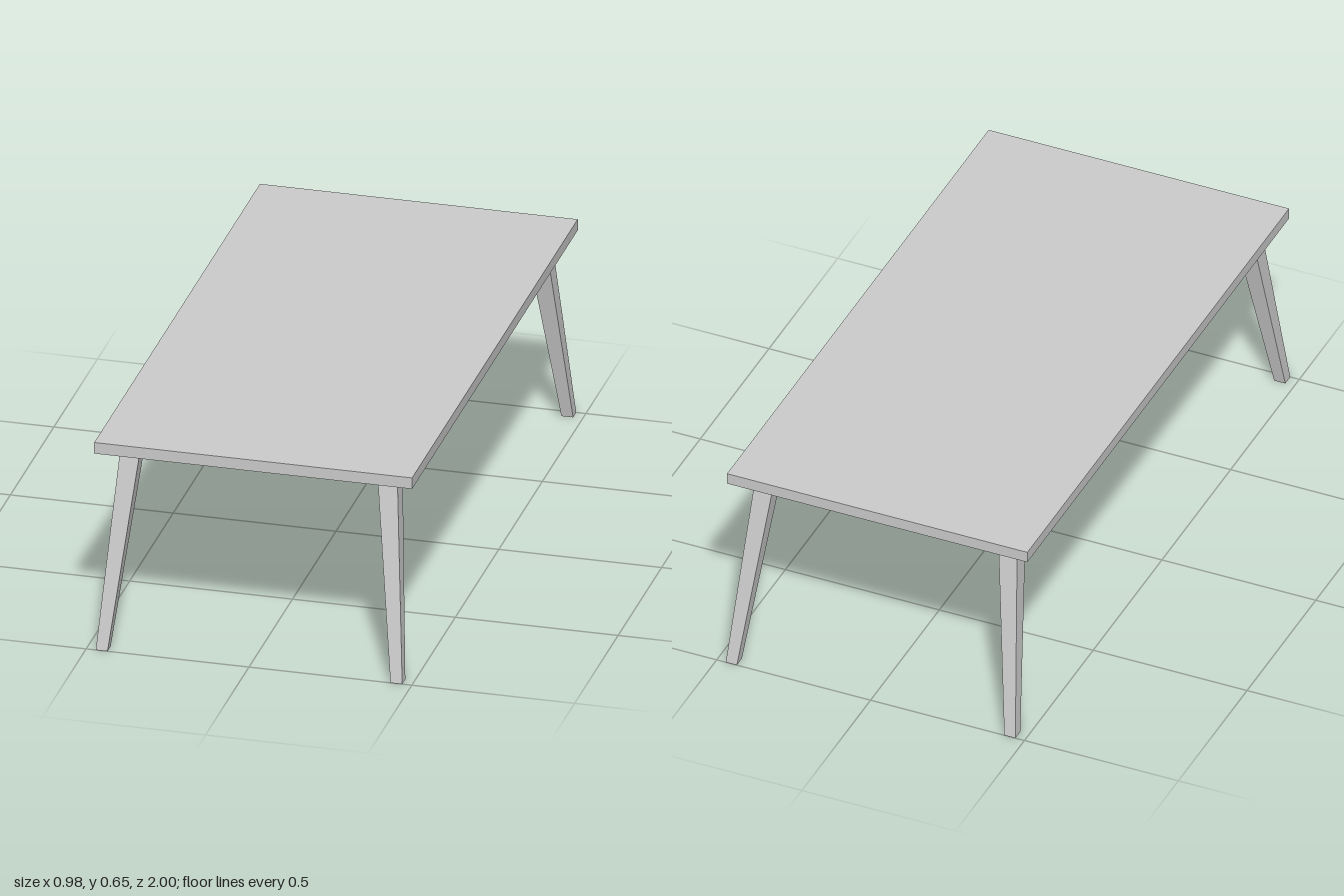
import * as THREE from 'three';

const LEG_HEIGHT = 0.618;
const TOP_THICKNESS = 0.036;

// Square leg, tapering and splaying outward from the tabletop to the floor
function legGeometry(sx, sz) {
  const foot = { x: 0.4525, z: 0.982, width: 0.036 };
  const head = { x: 0.3945, z: 0.8545, width: 0.061 };
  const geometry = new THREE.BoxGeometry(1, 1, 1);
  const pos = geometry.attributes.position;
  for (let i = 0; i < pos.count; i++) {
    const atTop = pos.getY(i) > 0;
    const end = atTop ? head : foot;
    pos.setXYZ(
      i,
      sx * end.x + pos.getX(i) * end.width,
      atTop ? LEG_HEIGHT : 0,
      sz * end.z + pos.getZ(i) * end.width
    );
  }
  geometry.computeVertexNormals();
  return geometry;
}

export function createModel() {
  const table = new THREE.Group();
  table.name = 'table';
  const material = new THREE.MeshStandardMaterial({ color: 0xcccccc, flatShading: true });

  // Flat rectangular slab
  const top = new THREE.Mesh(new THREE.BoxGeometry(0.976, TOP_THICKNESS, 1.904), material);
  top.name = 'tabletop';
  top.position.y = LEG_HEIGHT + TOP_THICKNESS / 2;
  table.add(top);

  // One leg per corner
  for (const sx of [-1, 1]) {
    for (const sz of [-1, 1]) {
      const leg = new THREE.Mesh(legGeometry(sx, sz), material);
      leg.name = (sz > 0 ? 'front' : 'back') + (sx > 0 ? 'Left' : 'Right') + 'Leg';
      table.add(leg);
    }
  }
  return table;
}
